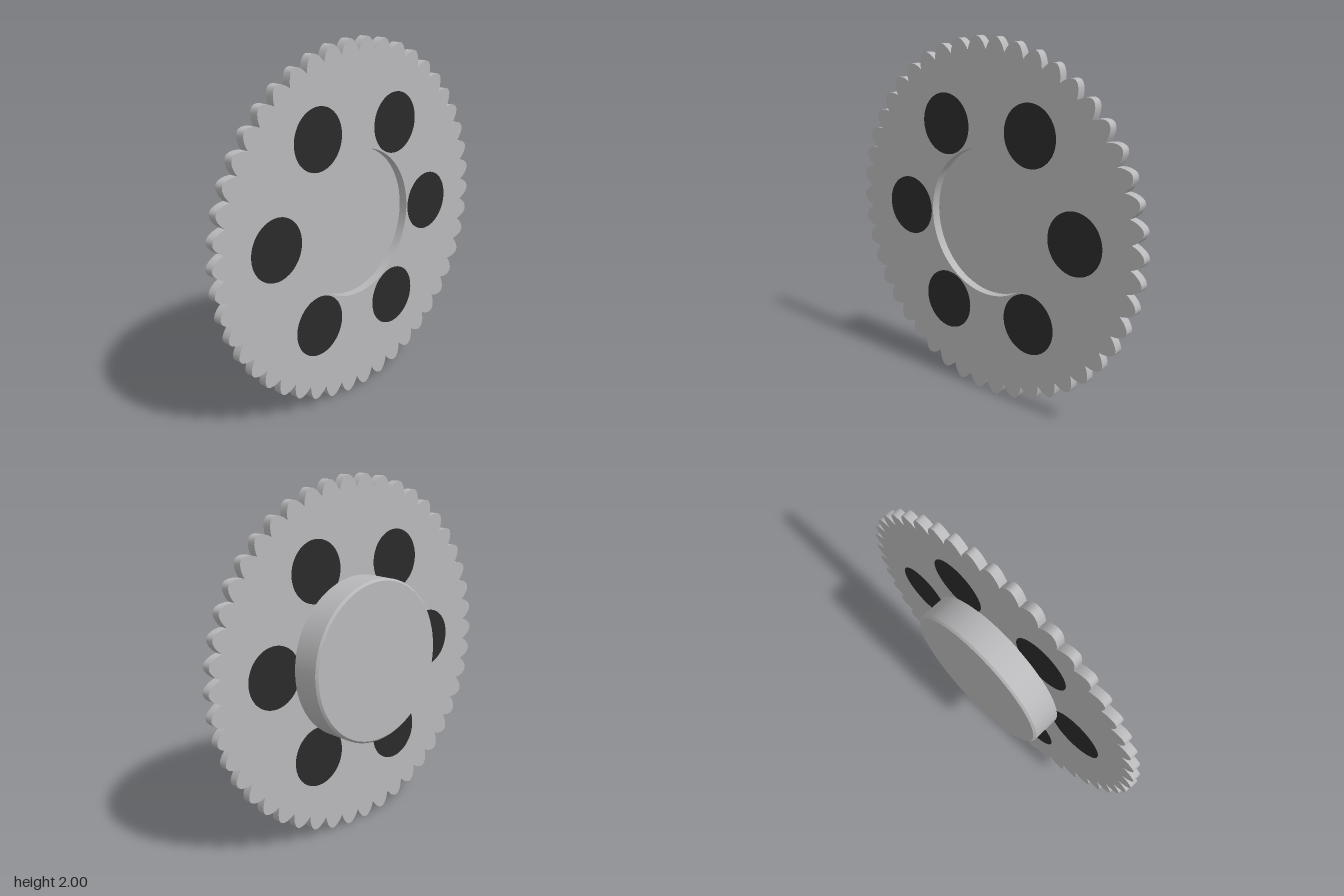
import * as THREE from 'three';
import { toCreasedNormals } from 'three/addons/utils/BufferGeometryUtils.js';

const TEETH = 46, STEPS = 12;
const ROOT = 0.93, TIP = 1.0;
const BACK = 0.06, FRONT = 0.11;
const HOLES = 6, HOLE_RING = 0.592, HOLE_R = 0.17, RECESS_R = 0.412;

// Closed outline of rounded teeth meeting in sharp valleys, with a valley at the top
function gearShape() {
  const pts = [];
  for (let i = 0; i < TEETH * STEPS; i++) {
    const t = (i % STEPS) / STEPS;
    const r = ROOT + (TIP - ROOT) * Math.pow(Math.sin(Math.PI * t), 0.85);
    const a = Math.PI / 2 + (i / (TEETH * STEPS)) * Math.PI * 2;
    pts.push(new THREE.Vector2(Math.cos(a) * r, Math.sin(a) * r));
  }
  return new THREE.Shape(pts);
}

function circlePath(x, y, r) {
  return new THREE.Path().absarc(x, y, r, 0, Math.PI * 2, true);
}

export function createModel() {
  const model = new THREE.Group();
  const metal = new THREE.MeshStandardMaterial({ color: 0xb8b8ba });
  metal.name = 'light grey metal';
  const dark = new THREE.MeshStandardMaterial({ color: 0x2a2a2a });
  dark.name = 'near black';

  const add = (name, geometry, material) => {
    const mesh = new THREE.Mesh(geometry, material);
    mesh.name = name;
    model.add(mesh);
    return mesh;
  };

  // Toothed plate with a central recess and a ring of holes
  const shape = gearShape();
  shape.holes.push(circlePath(0, 0, RECESS_R));
  const centres = [];
  for (let i = 0; i < HOLES; i++) {
    const a = (i / HOLES) * Math.PI * 2;
    centres.push([Math.cos(a) * HOLE_RING, Math.sin(a) * HOLE_RING]);
  }
  centres.forEach(([x, y]) => shape.holes.push(circlePath(x, y, HOLE_R)));
  const plate = new THREE.ExtrudeGeometry(shape, {
    depth: FRONT - BACK, bevelEnabled: false, curveSegments: 32,
  });
  plate.translate(0, 0, BACK);
  add('gearPlate', toCreasedNormals(plate, 0.6), metal);

  // Dark plugs filling the holes
  centres.forEach(([x, y], i) => {
    const plug = new THREE.CylinderGeometry(HOLE_R, HOLE_R, FRONT - BACK + 0.002, 64);
    plug.rotateX(Math.PI / 2);
    add(`holePlug${i + 1}`, plug, dark).position.set(x, y, (FRONT + BACK) / 2);
  });

  // Solid hub behind the plate with a small chamfer; its front is the recess floor
  const profile = [
    [0, -0.11], [0.446, -0.11], [0.458, -0.098], [0.458, BACK], [0, BACK],
  ].map(([r, z]) => new THREE.Vector2(r, z));
  const hub = new THREE.LatheGeometry(profile, 96);
  hub.rotateX(Math.PI / 2);
  add('hub', toCreasedNormals(hub, 0.5), metal);

  model.children.forEach((m) => { m.position.y += 1; });
  return model;
}
